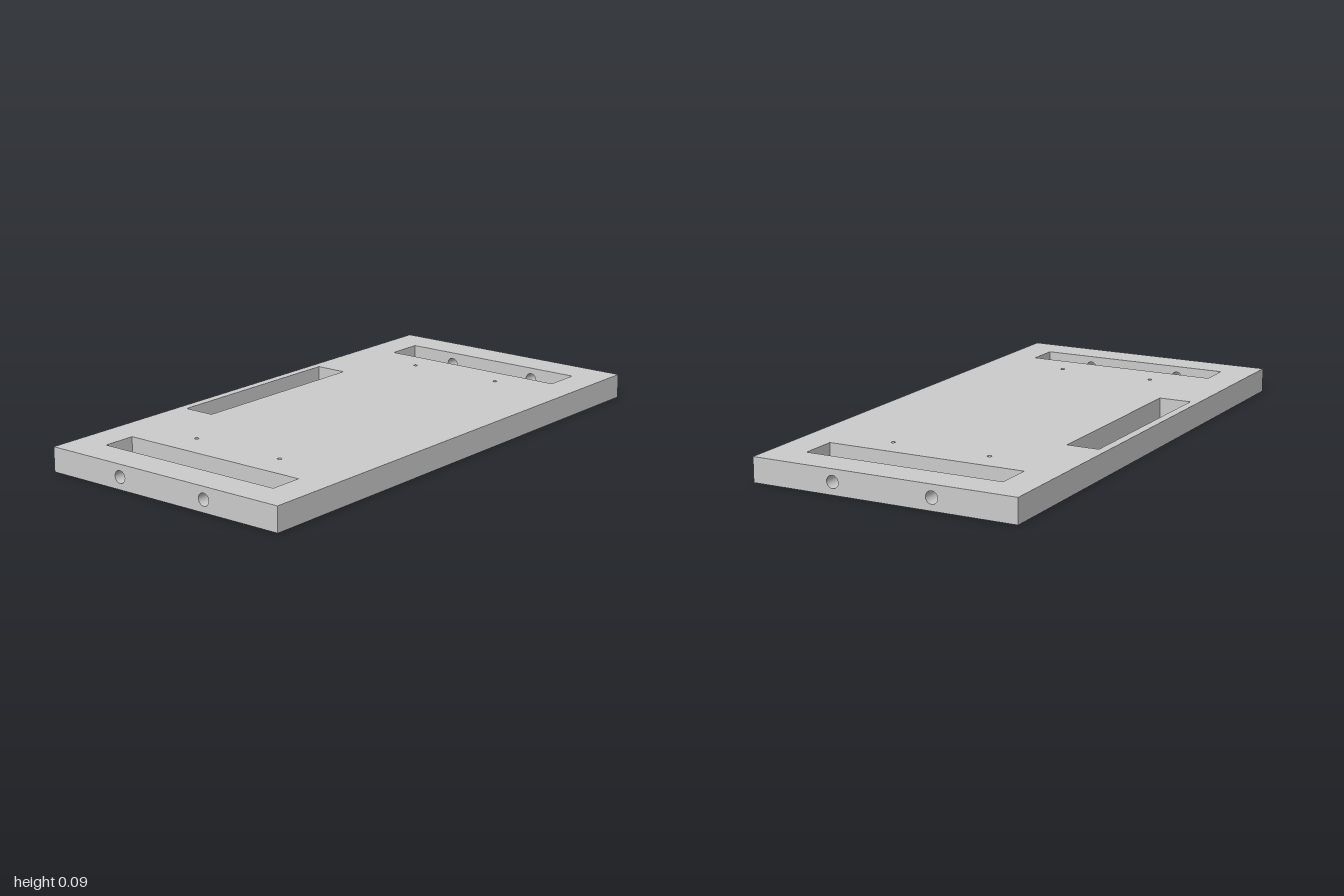
import * as THREE from 'three';

const W = 2, D = 1, H = 0.09;
const BOLT_R = 0.0225, PILOT_R = 0.008, PILOT_DEPTH = 0.045;
const HOLE_Z = [-0.1875, 0.1875], PILOT_X = [-0.625, 0.625];
const SLOTS = [
  { name: 'leftSlot', x0: 0.73, x1: 0.87, z0: -0.375, z1: 0.375 },
  { name: 'rightSlot', x0: -0.875, x1: -0.75, z0: -0.375, z1: 0.375 },
  { name: 'backSlot', x0: -0.375, x1: 0.375, z0: -0.468, z1: -0.347 },
];

const grey = new THREE.MeshStandardMaterial({ color: 0xcccccc });
const greyBoth = new THREE.MeshStandardMaterial({ color: 0xcccccc, side: THREE.DoubleSide });

function rect(Type, x0, y0, x1, y1) {
  const p = new Type();
  p.moveTo(x0, y0);
  p.lineTo(x1, y0);
  p.lineTo(x1, y1);
  p.lineTo(x0, y1);
  p.closePath();
  return p;
}

function circle(x, y, r) {
  const p = new THREE.Path();
  p.absarc(x, y, r, 0, Math.PI * 2);
  return p;
}

function add(parent, name, geometry, material = grey) {
  const mesh = new THREE.Mesh(geometry, material);
  mesh.name = name;
  parent.add(mesh);
  return mesh;
}

// Upright face centred at (x, z), turned to face the given angle, optionally drilled
function addWall(parent, name, width, x, z, angle, drilled = false) {
  const shape = rect(THREE.Shape, -width / 2, 0, width / 2, H);
  if (drilled) for (const hz of HOLE_Z) shape.holes.push(circle(hz, H / 2, BOLT_R));
  const g = new THREE.ShapeGeometry(shape, 16).rotateY(angle).translate(x, 0, z);
  add(parent, name, g);
}

// Horizontal face with slot openings; dir is 1 for the top and -1 for the underside
function addPanel(parent, name, dir) {
  const shape = rect(THREE.Shape, -W / 2, -D / 2, W / 2, D / 2);
  for (const s of SLOTS) {
    const ys = [-dir * s.z0, -dir * s.z1].sort((a, b) => a - b);
    shape.holes.push(rect(THREE.Path, s.x0, ys[0], s.x1, ys[1]));
  }
  if (dir > 0) {
    for (const x of PILOT_X) for (const z of HOLE_Z) shape.holes.push(circle(x, -z, PILOT_R));
  }
  const g = new THREE.ShapeGeometry(shape, 8).rotateX(-dir * Math.PI / 2);
  add(parent, name, g.translate(0, dir > 0 ? H : 0, 0));
}

export function createModel() {
  const model = new THREE.Group();
  model.name = 'slottedBoard';
  const Q = Math.PI / 2;

  // Board faces
  addPanel(model, 'topFace', 1);
  addPanel(model, 'underside', -1);
  addWall(model, 'frontEdge', W, 0, D / 2, 0);
  addWall(model, 'backEdge', W, 0, -D / 2, Math.PI);
  addWall(model, 'leftEdge', D, W / 2, 0, Q, true);
  addWall(model, 'rightEdge', D, -W / 2, 0, -Q, true);

  // Slot walls, facing into each opening; the outer end walls are drilled
  for (const { name, x0, x1, z0, z1 } of SLOTS) {
    const slot = new THREE.Group();
    slot.name = name;
    const cx = (x0 + x1) / 2, cz = (z0 + z1) / 2;
    addWall(slot, name + 'BackWall', x1 - x0, cx, z0, 0);
    addWall(slot, name + 'FrontWall', x1 - x0, cx, z1, Math.PI);
    addWall(slot, name + 'RightWall', z1 - z0, x0, cz, Q, name === 'rightSlot');
    addWall(slot, name + 'LeftWall', z1 - z0, x1, cz, -Q, name === 'leftSlot');
    model.add(slot);
  }

  for (const z of HOLE_Z) {
    // Bolt holes through both end rails
    for (const [a, b] of [[SLOTS[0].x1, W / 2], [-W / 2, SLOTS[1].x0]]) {
      const g = new THREE.CylinderGeometry(BOLT_R, BOLT_R, b - a, 32, 1, true).rotateZ(Q);
      add(model, 'boltHole', g.translate((a + b) / 2, H / 2, z), greyBoth);
    }
    // Blind pilot holes in the top
    for (const x of PILOT_X) {
      const g = new THREE.CylinderGeometry(PILOT_R, PILOT_R, PILOT_DEPTH, 16, 1, true);
      add(model, 'pilotHole', g.translate(x, H - PILOT_DEPTH / 2, z), greyBoth);
      const floor = new THREE.CircleGeometry(PILOT_R, 16).rotateX(-Q);
      add(model, 'pilotHoleFloor', floor.translate(x, H - PILOT_DEPTH, z));
    }
  }
  return model;
}
